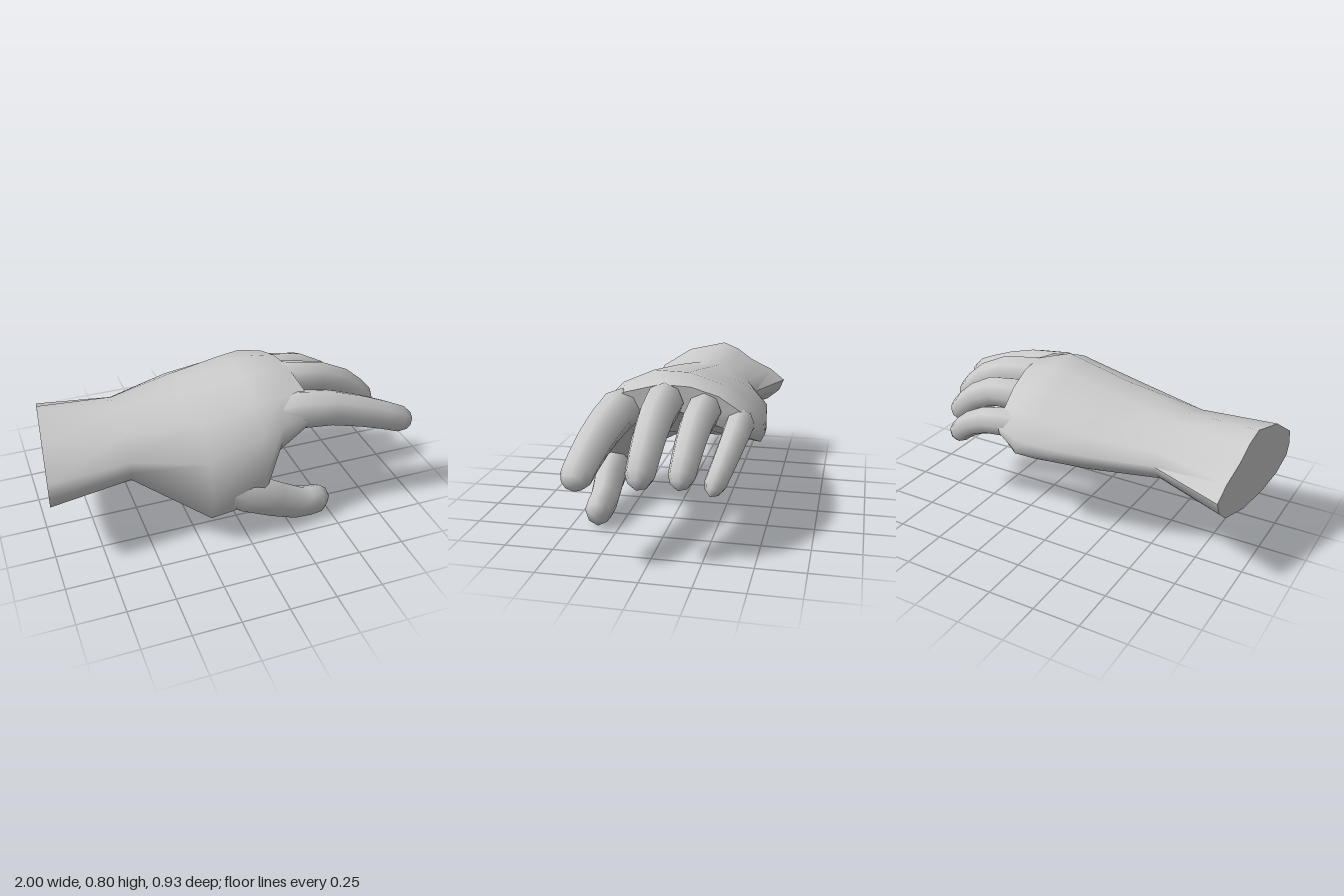
import * as THREE from 'three';
import { toCreasedNormals } from 'three/addons/utils/BufferGeometryUtils.js';

const material = new THREE.MeshStandardMaterial({ color: 0xcccccc });
const V = (x, y, z) => new THREE.Vector3(x, y, z);

// Skins equal-length rings (ordered back, top, front, bottom) and closes both ends.
function loft(name, rings, startCap, endCap) {
  const n = rings[0].length;
  const last = (rings.length - 1) * n;
  const caps = rings.length * n;
  const index = [];
  for (let j = 0; j < n; j++) {
    const k = (j + 1) % n;
    for (let i = 0; i < last; i += n) {
      index.push(i + j, i + k, i + n + j, i + k, i + n + k, i + n + j);
    }
    index.push(k, j, caps, last + j, last + k, caps + 1);
  }
  const geometry = new THREE.BufferGeometry().setFromPoints([...rings.flat(), startCap, endCap]);
  geometry.setIndex(index);
  const mesh = new THREE.Mesh(toCreasedNormals(geometry, 1.2), material);
  mesh.name = name;
  return mesh;
}

const centre = (ring) => ring.reduce((sum, p) => sum.add(p), V(0, 0, 0)).divideScalar(ring.length);

// Palm ring: a closed curve through the section's key points, slanted in x along z.
function palmRing({ x, slant, outline }) {
  const points = outline.map(([y, z]) => V(x + slant * z, y, z));
  return new THREE.CatmullRomCurve3(points, true).getPoints(14).slice(0, 14);
}

// Digit: eight-sided rings along a curve, buried narrow in the palm and rounded at the tip.
function digit({ name, height, width, path }) {
  const steps = 6;
  const curve = new THREE.CatmullRomCurve3(path.map((p) => V(...p)));
  const rings = Array.from({ length: steps + 1 }, (_, i) => {
    const t = 1 - (1 - i / steps) ** 1.5;
    const ends = i === 0 ? 0.55 : i === steps ? 0.7 : 1;
    const scale = (1 - 0.35 * t) * ends;
    const tangent = curve.getTangent(t);
    const up = V(0, 0, 1).cross(tangent).normalize();
    const side = tangent.clone().cross(up);
    return Array.from({ length: 8 }, (_, j) => {
      const a = (j / 8) * Math.PI * 2;
      return curve.getPoint(t)
        .addScaledVector(side, -Math.cos(a) * width * scale)
        .addScaledVector(up, Math.sin(a) * height * scale);
    });
  });
  const tip = curve.getPoint(1).addScaledVector(curve.getTangent(1), 0.03);
  return loft(name, rings, curve.getPoint(0), tip);
}

// Key points [y, z]: back edge, back knuckles, top, front edge, front underside, hollow, back underside.
const palm = [
  { x: -0.967, slant: -0.1,
    outline: [[.49, -.46], [.61, -.25], [.705, -.07], [.53, .33], [.39, .325], [.31, .05], [.36, -.36]] },
  { x: -0.56, slant: -0.06,
    outline: [[.51, -.33], [.62, -.2], [.67, 0], [.53, .29], [.41, .27], [.33, .06], [.42, -.27]] },
  { x: -0.2, slant: 0,
    outline: [[.53, -.435], [.67, -.25], [.735, .06], [.5, .4], [.17, .42], [.34, .05], [.43, -.38]] },
  { x: 0.09, slant: 0,
    outline: [[.53, -.465], [.72, -.26], [.78, .1], [.58, .385], [.2, .41], [.43, .06], [.44, -.44]] },
  { x: 0.2, slant: 0,
    outline: [[.54, -.465], [.735, -.26], [.798, .11], [.62, .375], [.45, .34], [.53, 0], [.445, -.45]] },
  { x: 0.355, slant: 0.1,
    outline: [[.55, -.43], [.71, -.25], [.765, .04], [.645, .345], [.56, .31], [.65, 0], [.5, -.4]] },
];

// Half height and half width at the root, and the centre line from palm to tip.
const digits = [
  { name: 'indexFinger', height: 0.112, width: 0.12,
    path: [[.13, .62, .24], [.42, .62, .255], [.7, .555, .285], [.97, .45, .305]] },
  { name: 'middleFinger', height: 0.11, width: 0.108,
    path: [[.13, .66, .02], [.45, .67, .02], [.7, .58, .02], [.865, .425, .03]] },
  { name: 'ringFinger', height: 0.1, width: 0.098,
    path: [[.13, .6, -.18], [.42, .635, -.175], [.64, .55, -.165], [.795, .41, -.15]] },
  { name: 'littleFinger', height: 0.09, width: 0.082,
    path: [[.1, .55, -.34], [.36, .555, -.355], [.56, .475, -.33], [.705, .355, -.287]] },
  { name: 'thumb', height: 0.125, width: 0.1,
    path: [[-.2, .34, .33], [.08, .215, .375], [.31, .1, .365], [.475, .09, .36]] },
];

export function createModel() {
  const hand = new THREE.Group();
  hand.name = 'hand';
  const rings = palm.map(palmRing);
  hand.add(loft('wristAndPalm', rings, centre(rings[0]), centre(rings.at(-1))));
  digits.forEach((entry) => hand.add(digit(entry)));
  return hand;
}
